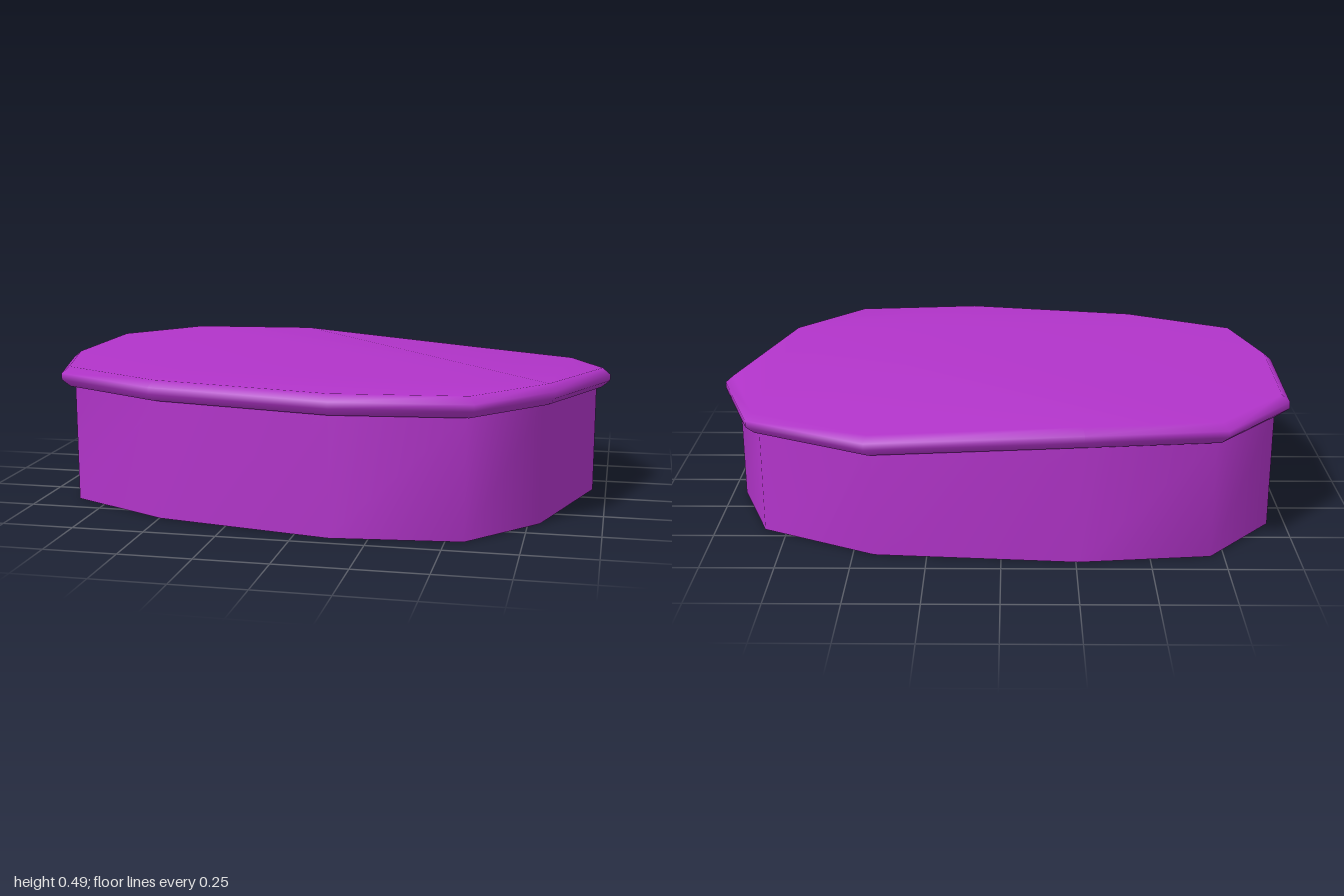
import * as THREE from 'three';

// Outline corners: x, z, and how far the lid droops there
const OUTLINE = [
  [-0.27, -0.735, 0], [0.45, -0.68, 0.05], [0.87, -0.47, 0.049], [1.0, -0.125, 0.028],
  [0.83, 0.4, 0], [0.59, 0.68, 0], [0.125, 0.73, 0], [-0.52, 0.61, 0],
  [-0.91, 0.41, 0], [-1.0, 0.07, 0], [-0.985, -0.405, 0], [-0.74, -0.685, 0],
];
const N = OUTLINE.length;
const FAN = 4; // corner the caps fan out from

// One loop of the outline, scaled inward, at a height, optionally following the droop
const ring = (scale, y, droop = 1) =>
  OUTLINE.map(([x, z, d]) => [x * scale, y - d * droop, z * scale]);

// Skin a stack of rings from bottom to top
function loft(rings, { top = false, bottom = false } = {}) {
  const index = [];
  for (let r = 0; r < rings.length - 1; r++) {
    for (let i = 0; i < N; i++) {
      const a = r * N + i, b = r * N + (i + 1) % N;
      index.push(b, a, a + N, b, a + N, b + N);
    }
  }
  const last = (rings.length - 1) * N;
  for (let k = 1; k < N - 1; k++) {
    const i = (FAN + k) % N, j = (FAN + k + 1) % N;
    if (top) index.push(last + FAN, last + j, last + i);
    if (bottom) index.push(FAN, i, j);
  }
  const geometry = new THREE.BufferGeometry();
  geometry.setAttribute('position', new THREE.Float32BufferAttribute(rings.flat(2), 3));
  geometry.setIndex(index);
  geometry.computeVertexNormals();
  return geometry;
}

export function createModel() {
  const group = new THREE.Group();
  group.name = 'coveredTray';
  const color = 0xb234ca;
  const solid = new THREE.MeshStandardMaterial({ color });
  const thin = new THREE.MeshStandardMaterial({ color, side: THREE.DoubleSide });

  const add = (name, geometry, material) => {
    const mesh = new THREE.Mesh(geometry, material);
    mesh.name = name;
    group.add(mesh);
  };

  // Open-bottomed side wall, reaching up to the underside of the lid
  add('sideWall', loft([ring(0.952, 0, 0), ring(0.952, 0.415)]), thin);

  // Lid with bevelled rim and softly shaded top
  add('lid', loft([
    ring(0.97, 0.415), ring(1, 0.44), ring(1, 0.463), ring(0.972, 0.487),
  ], { top: true }), solid);

  // Flat underside of the lid
  add('lidUnderside', loft([ring(0.97, 0.415)], { bottom: true }), solid);

  return group;
}
